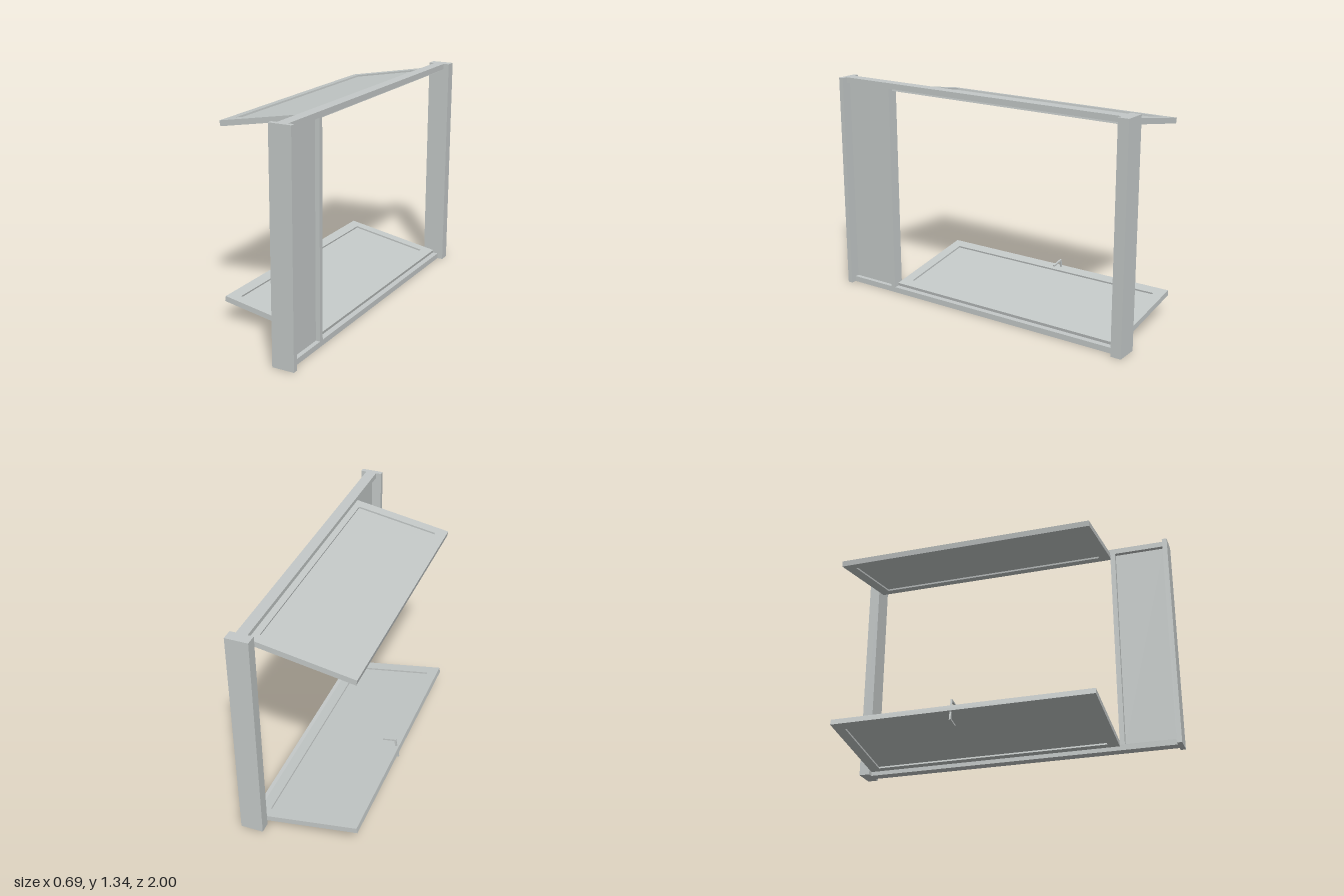
import * as THREE from 'three';

const HEIGHT = 1.335, FRAME_X = 0.277, RAIL = 0.034;
const LEAF = 0.627, THICK = 0.033, BORDER = 0.065;

export function createModel() {
  const metal = new THREE.MeshStandardMaterial({ color: 0xc4c9c8 });
  metal.name = 'paleGreyMetal';
  const model = new THREE.Group();
  model.name = 'windowUnit';

  // box given by its limits on each axis
  const box = (parent, name, [x0, x1], [y0, y1], [z0, z1]) => {
    const mesh = new THREE.Mesh(new THREE.BoxGeometry(x1 - x0, y1 - y0, z1 - z0), metal);
    mesh.position.set((x0 + x1) / 2, (y0 + y1) / 2, (z0 + z1) / 2);
    mesh.name = name;
    parent.add(mesh);
    return mesh;
  };

  // fixed frame: wide end posts, narrow rails and a mullion
  const frame = new THREE.Group();
  frame.name = 'fixedFrame';
  model.add(frame);
  const post = [0.21, 0.345], rail = [FRAME_X - 0.033, FRAME_X + 0.033];
  box(frame, 'frontPost', post, [0, HEIGHT], [0.97, 1]);
  box(frame, 'backPost', post, [0, HEIGHT], [-1, -0.935]);
  box(frame, 'bottomRail', rail, [0, RAIL], [-0.935, 0.97]);
  box(frame, 'topRail', rail, [HEIGHT - RAIL, HEIGHT], [-0.935, 0.97]);
  box(frame, 'mullion', rail, [RAIL, HEIGHT - RAIL], [0.635, 0.665]);
  box(frame, 'fixedPanel', [FRAME_X - 0.006, FRAME_X + 0.006], [RAIL, HEIGHT - RAIL], [0.665, 0.97]);

  // tilted leaf: bordered frame with a recessed panel, hinged at its +x edge
  const makeLeaf = (name, y, angle) => {
    const leaf = new THREE.Group();
    leaf.name = name;
    leaf.position.set(0.275, y, 0);
    leaf.rotation.z = angle;
    const z0 = -0.935, z1 = 0.635;
    const outline = new THREE.Shape([[-LEAF, z0], [0, z0], [0, z1], [-LEAF, z1]]
      .map(([x, z]) => new THREE.Vector2(x, -z)));
    const a = -LEAF + BORDER, b = -BORDER, c = z0 + BORDER, d = z1 - BORDER;
    outline.holes.push(new THREE.Path([[a, c], [a, d], [b, d], [b, c]]
      .map(([x, z]) => new THREE.Vector2(x, -z))));
    const geo = new THREE.ExtrudeGeometry(outline, { depth: THICK, bevelEnabled: false });
    geo.translate(0, 0, -THICK / 2).rotateX(-Math.PI / 2);
    const border = new THREE.Mesh(geo, metal);
    border.name = 'leafBorder';
    leaf.add(border);
    box(leaf, 'leafPanel', [a, b], [-0.006, 0.006], [c, d]);
    model.add(leaf);
    return leaf;
  };
  const tilt = THREE.MathUtils.degToRad(10);
  const lower = makeLeaf('lowerLeaf', 0.036, -tilt);
  makeLeaf('upperLeaf', HEIGHT - 0.036, tilt);

  // C-shaped handle passing through the lower leaf
  const handle = new THREE.Group();
  handle.name = 'handle';
  lower.add(handle);
  const hz = [-0.205, -0.195];
  box(handle, 'handleBar', [-0.614, -0.603], [-0.066, 0.066], hz);
  box(handle, 'handleUpperArm', [-0.603, -0.53], [0.056, 0.066], hz);
  box(handle, 'handleLowerArm', [-0.603, -0.532], [-0.066, -0.056], hz);

  return model;
}
